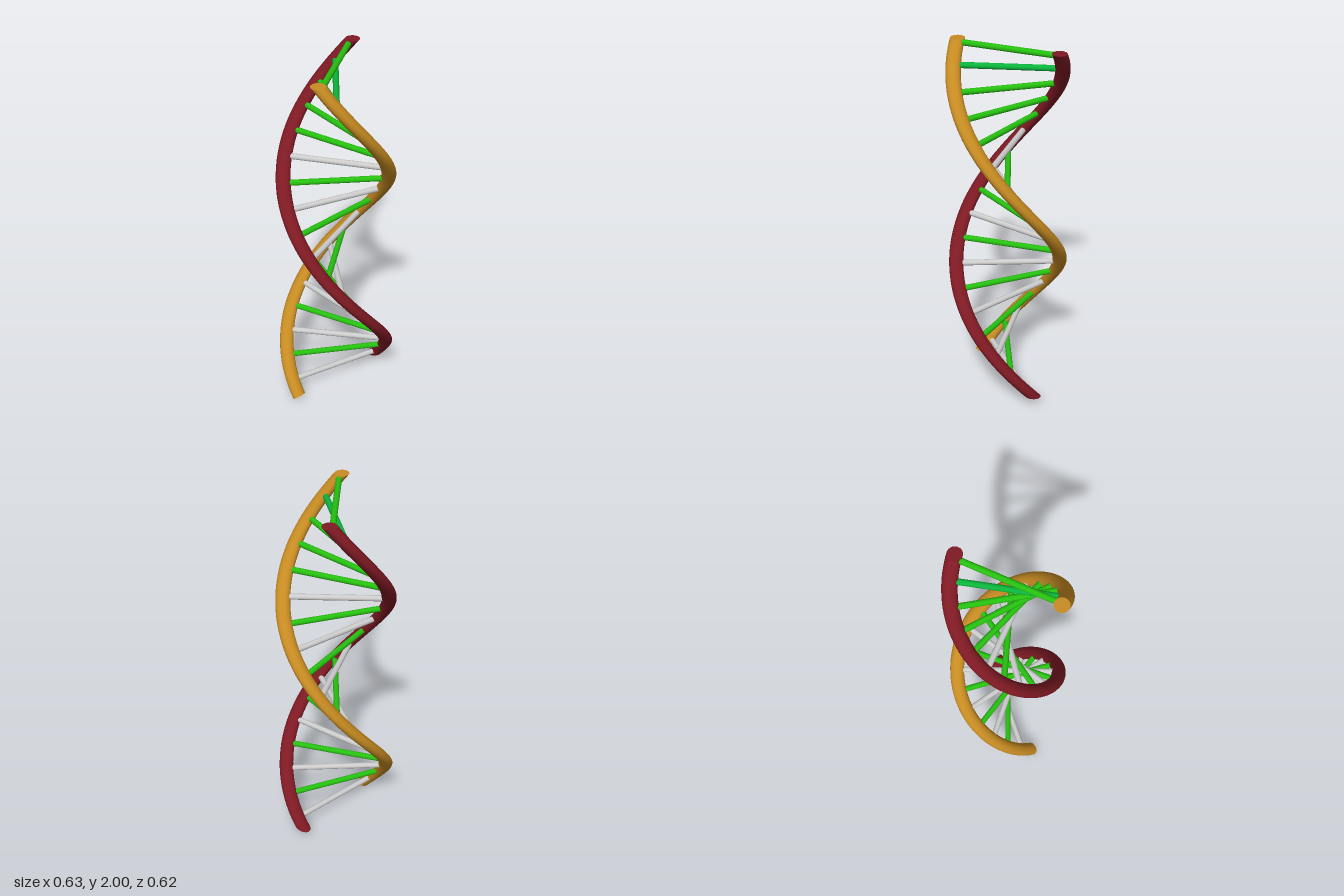
import * as THREE from 'three';

const RADIUS = 0.273, TUBE = 0.038, TOP = 2;
const SEGMENTS = 96, SIDES = 28;

// Centre of a strand at height y; side is 1 for the red strand, -1 for the gold one
function strandPoint(y, side) {
  const a = THREE.MathUtils.degToRad(90 + (y - 1.085) * 166);
  return new THREE.Vector3(
    side * (RADIUS * Math.cos(a) + 0.005), y, side * RADIUS * Math.sin(a));
}

// Helical strand with a level top end and a slanted bottom end
function strandGeometry(side, bottom, slant) {
  const pos = [], index = [];
  const ringPoint = (i, j) => {
    const phi = (j / SIDES) * Math.PI * 2;
    const u = TUBE * Math.cos(phi);
    const y = THREE.MathUtils.lerp(bottom + slant * u, TOP, i / SEGMENTS);
    const p = strandPoint(y, side);
    return [p.x + u, p.y, p.z + TUBE * Math.sin(phi)];
  };

  // Wall
  for (let i = 0; i <= SEGMENTS; i++)
    for (let j = 0; j < SIDES; j++) pos.push(...ringPoint(i, j));
  for (let i = 0; i < SEGMENTS; i++)
    for (let j = 0; j < SIDES; j++) {
      const k = (j + 1) % SIDES;
      const a = i * SIDES + j, b = i * SIDES + k;
      index.push(a, a + SIDES, b, b, a + SIDES, b + SIDES);
    }

  // Flat ends, with their own corners so the rims stay sharp
  for (const i of [0, SEGMENTS]) {
    const centre = pos.length / 3;
    pos.push(...strandPoint(i ? TOP : bottom, side).toArray());
    for (let j = 0; j < SIDES; j++) pos.push(...ringPoint(i, j));
    for (let j = 0; j < SIDES; j++) {
      const a = centre + 1 + j, b = centre + 1 + ((j + 1) % SIDES);
      if (i) index.push(centre, b, a);
      else index.push(centre, a, b);
    }
  }

  const g = new THREE.BufferGeometry();
  g.setAttribute('position', new THREE.Float32BufferAttribute(pos, 3));
  g.setIndex(index);
  g.computeVertexNormals();
  return g;
}

export function createModel() {
  const model = new THREE.Group();
  model.name = 'doubleHelix';
  const paint = (color) => new THREE.MeshStandardMaterial({ color });
  const red = paint(0x801a24), gold = paint(0xc88c22);
  const green = paint(0x26c010), teal = paint(0x0ab43a), grey = paint(0xcccccc);

  // Two strands
  const redStrand = new THREE.Mesh(strandGeometry(1, 0.052, 0.31), red);
  redStrand.name = 'redStrand';
  const goldStrand = new THREE.Mesh(strandGeometry(-1, 0.019, 0.49), gold);
  goldStrand.name = 'goldStrand';
  model.add(redStrand, goldStrand);

  // Level rungs: grey and green alternate, then all green near the top
  const rungs = new THREE.Group();
  rungs.name = 'rungs';
  const up = new THREE.Vector3(0, 1, 0);
  for (let i = 0; i < 18; i++) {
    const y = i === 17 ? 1.984 : 0.097 + i * 0.1121;
    const from = strandPoint(y, -1), to = strandPoint(y, 1);
    const axis = to.clone().sub(from);
    const material = i === 16 ? teal : i % 2 || i > 13 ? green : grey;
    const rung = new THREE.Mesh(
      new THREE.CylinderGeometry(0.0155, 0.0155, axis.length(), 16), material);
    rung.position.copy(from).add(to).multiplyScalar(0.5);
    rung.quaternion.setFromUnitVectors(up, axis.normalize());
    rung.name = 'rung' + (i + 1);
    rungs.add(rung);
  }
  model.add(rungs);
  return model;
}
